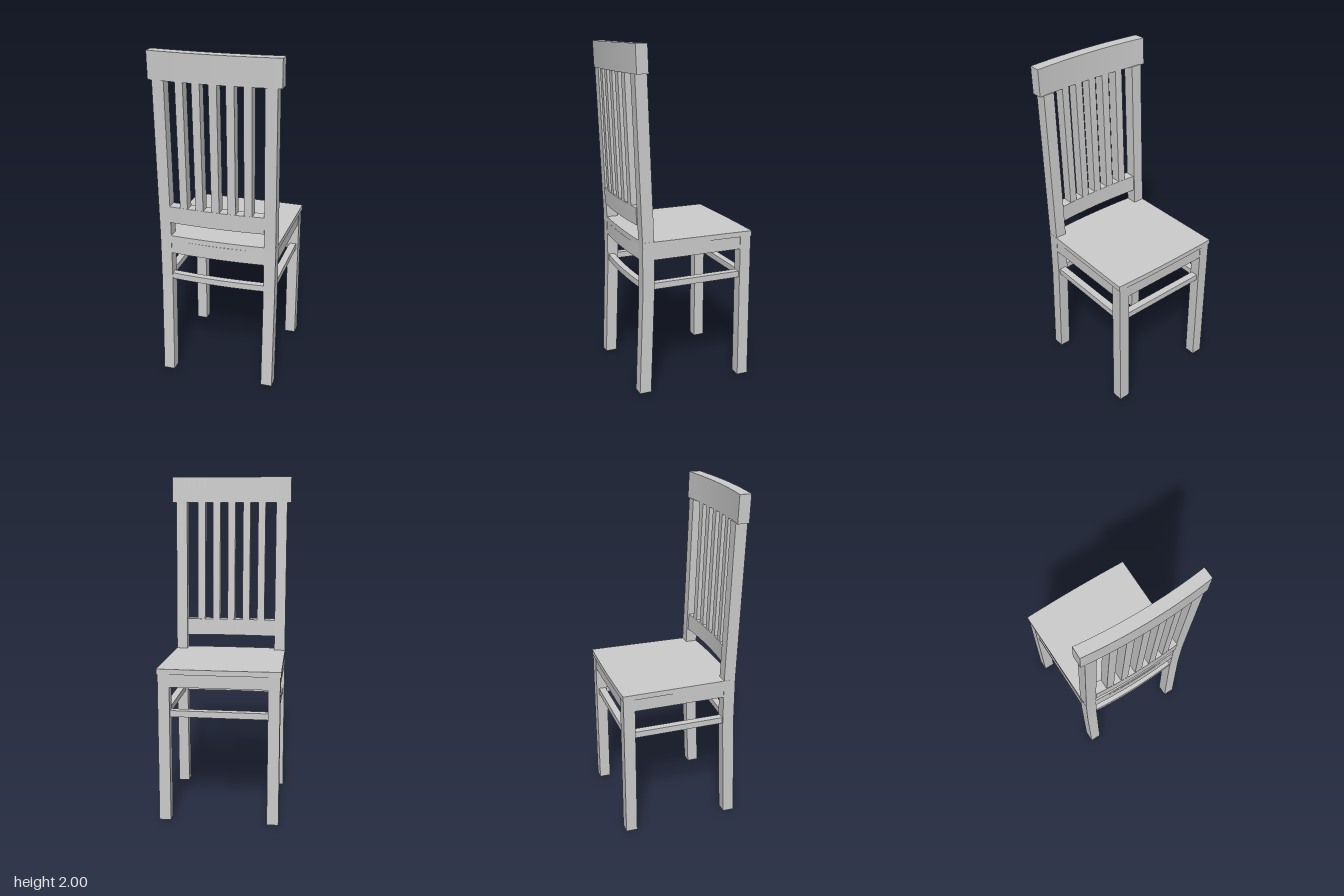
import * as THREE from 'three';

const material = new THREE.MeshStandardMaterial({ color: 0xcccccc });

// Front surface of the rear posts at height y: splayed foot, upright middle, reclined back
function rake(y) {
  if (y < 0.62) return 0.248 + (0.62 - y) / 0.62 * 0.024;
  if (y < 0.92) return 0.248;
  return 0.248 + (y - 0.92) * 0.037;
}
// Rearward bow of the rails, relative to the rail ends
const bow = (x) => 0.022 * (1 - (x / 0.373) ** 2);

function add(parent, name, geometry) {
  const mesh = new THREE.Mesh(geometry, material);
  mesh.name = name;
  parent.add(mesh);
  return mesh;
}

// Box given by its limits
function block(parent, name, [x0, x1], [y0, y1], [z0, z1]) {
  const g = new THREE.BoxGeometry(x1 - x0, y1 - y0, z1 - z0);
  g.translate((x0 + x1) / 2, (y0 + y1) / 2, (z0 + z1) / 2);
  return add(parent, name, g);
}

// Board whose front surface follows front(x, y)
function bentBoard(parent, name, [x0, x1], [y0, y1], depth, front, nx = 1, ny = 1) {
  const g = new THREE.BoxGeometry(x1 - x0, y1 - y0, depth, nx, ny, 1);
  g.translate((x0 + x1) / 2, (y0 + y1) / 2, depth / 2);
  const p = g.attributes.position;
  for (let i = 0; i < p.count; i++) p.setZ(i, p.getZ(i) + front(p.getX(i), p.getY(i)));
  g.computeVertexNormals();
  return add(parent, name, g);
}

export function createModel() {
  const model = new THREE.Group();
  model.name = 'chair';
  const chair = new THREE.Group();
  chair.name = 'chairFrame';
  // The chair stands slightly turned, backrest towards +z
  chair.rotation.y = 0.04;
  chair.position.x = -0.008;
  model.add(chair);

  // Legs, side aprons and side stretchers
  for (const [side, s] of [['left', 1], ['right', -1]]) {
    const span = (a, b) => (s > 0 ? [a, b] : [-b, -a]);
    bentBoard(chair, side + 'RearPost', span(0.281, 0.349), [0, 1.845], 0.07, (x, y) => rake(y), 1, 30);
    block(chair, side + 'FrontLeg', span(0.283, 0.351), [0, 0.884], [-0.364, -0.296]);
    block(chair, side + 'SideApron', span(0.3, 0.347), [0.808, 0.884], [-0.3, 0.252]);
    block(chair, side + 'SideStretcher', span(0.295, 0.338), [0.63, 0.667], [-0.3, 0.252]);
  }

  // Front apron and stretcher
  block(chair, 'frontApron', [-0.285, 0.285], [0.808, 0.884], [-0.361, -0.315]);
  block(chair, 'frontStretcher', [-0.285, 0.285], [0.63, 0.667], [-0.35, -0.307]);

  // Bowed rear apron and stretcher
  const rearLine = (x) => 0.262 + bow(x);
  bentBoard(chair, 'rearApron', [-0.283, 0.283], [0.803, 0.884], 0.044, rearLine, 12);
  bentBoard(chair, 'rearStretcher', [-0.283, 0.283], [0.63, 0.667], 0.04, rearLine, 12);

  // Seat board: slightly tapered towards the back, with gently bowed edges
  const seat = new THREE.Shape();
  seat.moveTo(-0.357, 0.367);
  seat.quadraticCurveTo(0, 0.379, 0.357, 0.367);
  seat.lineTo(0.3495, -0.317);
  seat.lineTo(0.28, -0.317);
  seat.quadraticCurveTo(0, -0.335, -0.28, -0.317);
  seat.lineTo(-0.3495, -0.317);
  const seatGeo = new THREE.ExtrudeGeometry(seat, { depth: 0.031, bevelEnabled: false, curveSegments: 12 });
  seatGeo.rotateX(-Math.PI / 2);
  seatGeo.translate(0, 0.884, 0);
  add(chair, 'seat', seatGeo);

  // Backrest: top rail, lower rail and five slats on one bowed, reclined surface
  const back = (x, y) => rake(y) + bow(x);
  bentBoard(chair, 'topRail', [-0.373, 0.373], [1.842, 2], 0.068, back, 24, 1);
  bentBoard(chair, 'lowerRail', [-0.283, 0.283], [1.003, 1.105], 0.066, back, 18, 1);
  for (let i = -2; i <= 2; i++) {
    const c = i * 0.0955;
    bentBoard(chair, 'backSlat', [c - 0.023, c + 0.023], [1.1, 1.85], 0.064,
      (x, y) => back(x, y) + 0.001, 2, 1);
  }
  return model;
}
